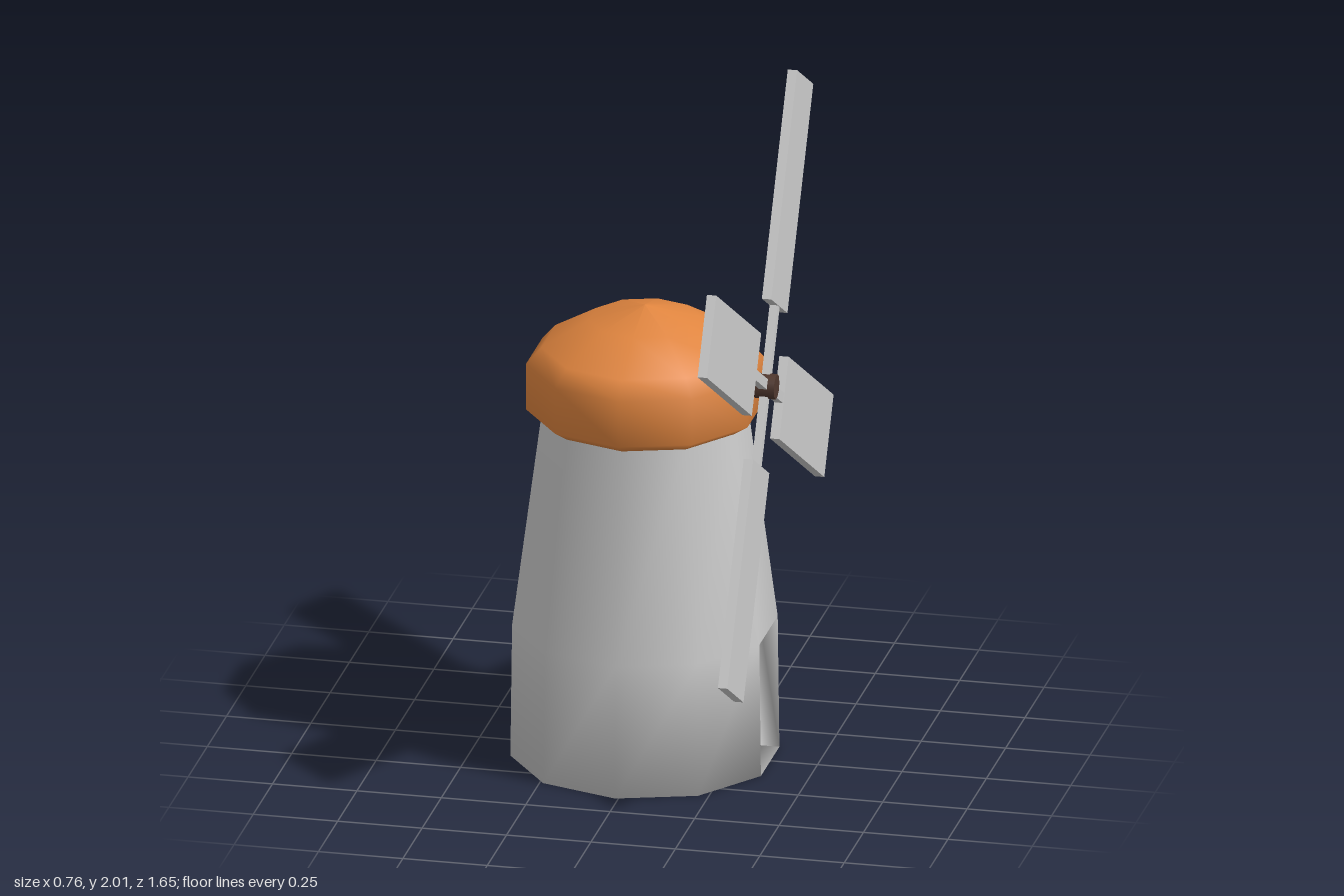
import * as THREE from 'three';

const SIDES = 10;
const DOOR = 2; // index of the tower side that faces +x
const material = (color) => new THREE.MeshStandardMaterial({ color });

function addMesh(parent, name, geometry, mat, x = 0, y = 0, z = 0) {
  const mesh = new THREE.Mesh(geometry, mat);
  mesh.name = name;
  mesh.position.set(x, y, z);
  parent.add(mesh);
  return mesh;
}

// Ten-sided tower with a doorway recessed into its +x side
function towerGeometry() {
  const rings = [[0.39, 0], [0.385, 0.405], [0.3, 1.05]];
  const pos = [], index = [];
  const quad = (a, b, c, d) => index.push(a, b, c, a, c, d);
  for (const [r, y] of rings) {
    for (let i = 0; i < SIDES; i++) {
      const a = (i / SIDES) * Math.PI * 2;
      pos.push(r * Math.sin(a), y, r * Math.cos(a));
    }
  }
  const at = (ring, i) => ring * SIDES + (i % SIDES);
  for (let ring = 0; ring < 2; ring++) {
    for (let i = 0; i < SIDES; i++) {
      if (ring === 0 && i === DOOR) continue;
      quad(at(ring, i), at(ring, i + 1), at(ring + 1, i + 1), at(ring + 1, i));
    }
  }

  // Underside
  const centre = pos.length / 3;
  pos.push(0, 0, 0);
  for (let i = 0; i < SIDES; i++) index.push(centre, at(0, i + 1), at(0, i));

  // Doorway jambs, floor and lintel
  const outer = [at(0, DOOR), at(0, DOOR + 1), at(1, DOOR + 1), at(1, DOOR)];
  const inner = outer.map((v) => {
    pos.push(0.31, pos[v * 3 + 1], pos[v * 3 + 2]);
    return pos.length / 3 - 1;
  });
  for (let k = 0; k < 4; k++) {
    const n = (k + 1) % 4;
    quad(outer[k], outer[n], inner[n], inner[k]);
  }

  const g = new THREE.BufferGeometry();
  g.setAttribute('position', new THREE.Float32BufferAttribute(pos, 3));
  g.setIndex(index);
  g.computeVertexNormals();
  return g;
}

export function createModel() {
  const model = new THREE.Group();
  model.name = 'windmill';
  const grey = material(0xcccccc);
  const orange = material(0xe0853f);
  const doorBrown = material(0x6b4a40);
  const hubBrown = material(0x50382f);

  const building = new THREE.Group();
  building.name = 'building';
  building.position.set(-0.01, 0, 0.005);
  model.add(building);

  addMesh(building, 'tower', towerGeometry(), grey);
  addMesh(building, 'door', new THREE.BoxGeometry(0.01, 0.4, 0.238), doorBrown, 0.307, 0.202, 0);

  // Domed cap with a bevelled lower rim
  const profile = [[0, 1.04], [0.3, 1.04], [0.345, 1.07], [0.345, 1.21], [0.3, 1.26], [0.163, 1.34], [0, 1.382]]
    .map(([r, y]) => new THREE.Vector2(r, y));
  addMesh(building, 'roof', new THREE.LatheGeometry(profile, SIDES), orange);

  // Rotor: four sails turning about the x axis
  const rotor = new THREE.Group();
  rotor.name = 'rotor';
  rotor.position.set(0.347, 1.16, 0.003);
  model.add(rotor);
  const hub = addMesh(rotor, 'hub', new THREE.CylinderGeometry(0.037, 0.037, 0.065, 10), hubBrown);
  hub.rotation.z = Math.PI / 2;

  for (let i = 0; i < 4; i++) {
    const sail = new THREE.Group();
    sail.name = 'sail';
    sail.rotation.x = -Math.PI / 6 + (i * Math.PI) / 2;
    rotor.add(sail);
    const start = i % 2 ? 0.207 : 0.235;
    const length = 0.673;
    addMesh(sail, 'arm', new THREE.BoxGeometry(0.024, start, 0.03), grey, 0, start / 2, 0);
    addMesh(sail, 'blade', new THREE.BoxGeometry(0.028, length, 0.242), grey, 0, start + length / 2, 0);
  }
  return model;
}
